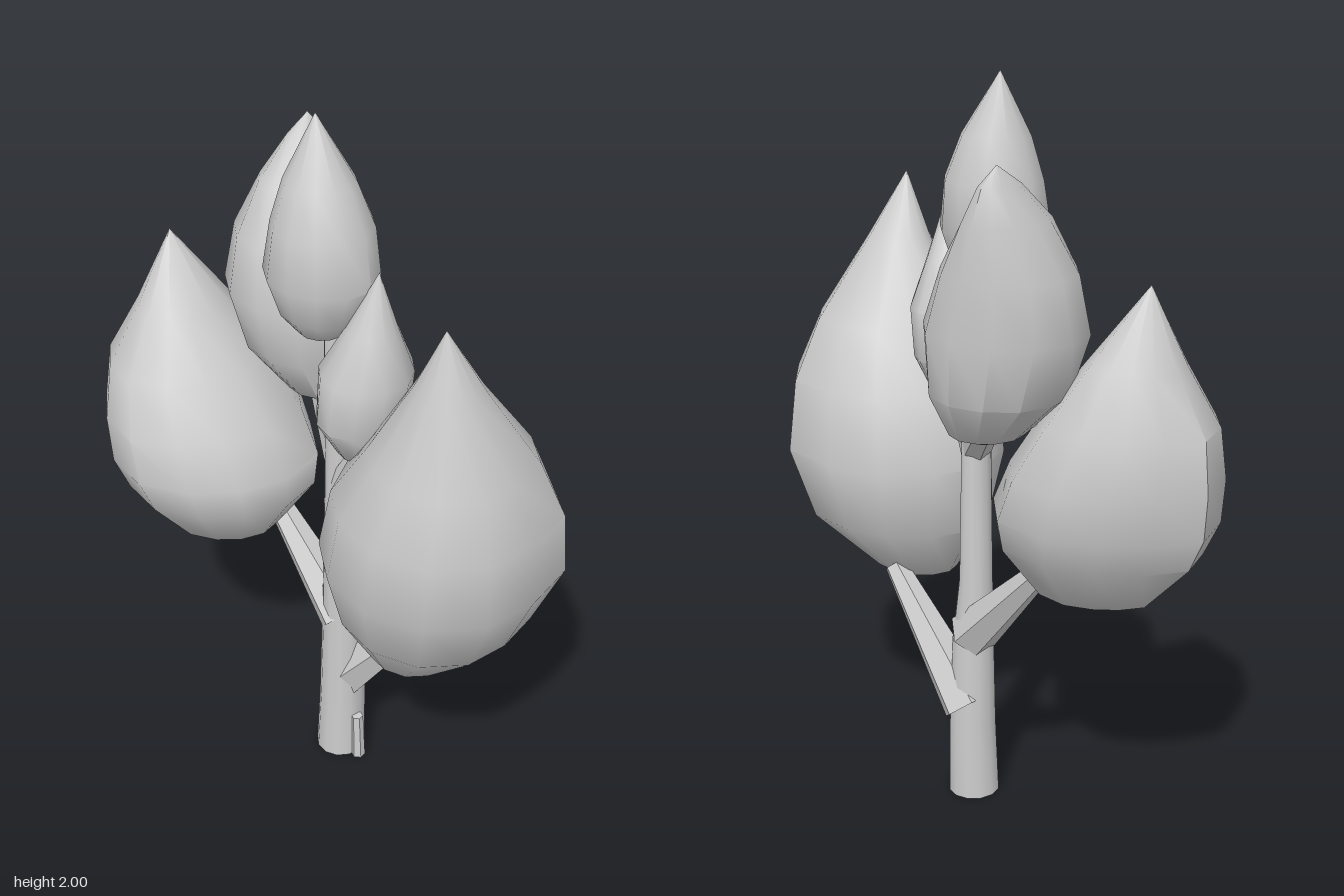
import * as THREE from 'three';
import { toCreasedNormals } from 'three/addons/utils/BufferGeometryUtils.js';

const material = new THREE.MeshStandardMaterial({ color: 0xcccccc });

// Skin over horizontal rings, bottom to top: [y, xMin, xMax, zMin, zMax].
// corners: fullness of the (+x+z), (-x+z), (-x-z) and (+x-z) quarters.
function ringSkin(name, rings, corners) {
  const sides = 12;
  const loops = rings.map(([y, x0, x1, z0, z1]) => {
    const loop = [];
    for (let i = 0; i < sides; i++) {
      const a = (i / sides) * Math.PI * 2;
      const corner = corners[Math.floor((i * 4) / sides)];
      const k = 1 + (corner - 1) * Math.abs(Math.sin(2 * a));
      loop.push(new THREE.Vector3(
        (x0 + x1) / 2 + Math.cos(a) * k * (x1 - x0) / 2, y,
        (z0 + z1) / 2 + Math.sin(a) * k * (z1 - z0) / 2));
    }
    return loop;
  });
  const isPoint = rings.map((r) => r[1] === r[2]);
  const points = [];
  for (let r = 0; r < loops.length - 1; r++) {
    for (let i = 0; i < sides; i++) {
      const j = (i + 1) % sides, low = loops[r], high = loops[r + 1];
      if (!isPoint[r + 1]) points.push(low[i], high[i], high[j]);
      if (!isPoint[r]) points.push(low[i], high[j], low[j]);
    }
  }
  const geometry = new THREE.BufferGeometry().setFromPoints(points);
  const mesh = new THREE.Mesh(toCreasedNormals(geometry, 0.75), material);
  mesh.name = name;
  return mesh;
}

// Tapered limb between two points.
function limb(name, from, to, r0, r1) {
  const a = new THREE.Vector3(...from), b = new THREE.Vector3(...to);
  const dir = b.clone().sub(a);
  const geometry = new THREE.CylinderGeometry(r1, r0, dir.length(), 6);
  const mesh = new THREE.Mesh(toCreasedNormals(geometry, 0.6), material);
  mesh.position.copy(a).add(b).multiplyScalar(0.5);
  mesh.quaternion.setFromUnitVectors(new THREE.Vector3(0, 1, 0), dir.normalize());
  mesh.name = name;
  return mesh;
}

// Teardrop leaf clumps, each leaning its own way.
const clumps = {
  lowerRightClump: { corners: [0.91, 0.97, 0.86, 1.13], rings: [
    [0.67, -0.32, -0.32, 0.03, 0.03],
    [0.71, -0.51, -0.20, -0.09, 0.17],
    [0.85, -0.64, -0.11, -0.19, 0.28],
    [0.94, -0.68, -0.11, -0.22, 0.31],
    [1.06, -0.69, -0.17, -0.22, 0.30],
    [1.20, -0.68, -0.26, -0.18, 0.25],
    [1.35, -0.60, -0.37, -0.10, 0.15],
    [1.55, -0.51, -0.51, 0.025, 0.025],
  ] },
  lowerLeftClump: { corners: [1.02, 0.96, 0.97, 1.14], rings: [
    [0.53, 0.34, 0.34, 0.10, 0.10],
    [0.58, 0.20, 0.43, -0.05, 0.16],
    [0.74, 0.10, 0.60, -0.19, 0.27],
    [0.93, 0.07, 0.68, -0.23, 0.34],
    [1.12, 0.12, 0.68, -0.19, 0.34],
    [1.28, 0.23, 0.63, -0.11, 0.29],
    [1.50, 0.37, 0.54, 0.06, 0.21],
    [1.67, 0.46, 0.46, 0.16, 0.16],
  ] },
  backClump: { corners: [0.98, 1.02, 0.97, 1], rings: [
    [1.10, -0.13, -0.13, -0.15, -0.15],
    [1.14, -0.24, -0.05, -0.25, -0.06],
    [1.26, -0.37, -0.01, -0.33, 0.01],
    [1.42, -0.42, 0.01, -0.34, 0.04],
    [1.57, -0.40, -0.06, -0.33, 0],
    [1.70, -0.35, -0.16, -0.32, -0.08],
    [1.79, -0.31, -0.23, -0.30, -0.18],
    [1.84, -0.28, -0.28, -0.26, -0.26],
  ] },
  topClump: { corners: [0.98, 1, 0.98, 1], rings: [
    [1.43, 0.02, 0.02, 0.04, 0.04],
    [1.45, -0.05, 0.07, -0.02, 0.10],
    [1.50, -0.11, 0.115, -0.07, 0.135],
    [1.60, -0.15, 0.155, -0.10, 0.165],
    [1.73, -0.13, 0.13, -0.10, 0.15],
    [1.84, -0.10, 0.085, -0.06, 0.11],
    [2.00, -0.03, -0.03, 0.015, 0.015],
  ] },
  middleClump: { corners: [1, 0.97, 1.05, 0.9], rings: [
    [1.12, 0.14, 0.14, 0.03, 0.03],
    [1.15, 0.07, 0.21, -0.05, 0.11],
    [1.25, 0.02, 0.25, -0.11, 0.17],
    [1.38, 0.02, 0.265, -0.11, 0.16],
    [1.50, 0.09, 0.23, -0.04, 0.10],
    [1.66, 0.175, 0.175, 0.03, 0.03],
  ] },
};

export function createModel() {
  const tree = new THREE.Group();
  tree.name = 'tree';

  for (const [name, { rings, corners }] of Object.entries(clumps)) {
    tree.add(ringSkin(name, rings, corners));
  }

  // Trunk, narrowing towards the top
  tree.add(ringSkin('trunk', [
    [0, 0.02, 0.02, -0.03, -0.03],
    [0, -0.05, 0.09, -0.105, 0.04],
    [0.22, -0.043, 0.088, -0.1, 0.03],
    [0.45, -0.037, 0.083, -0.09, 0.025],
    [0.65, -0.03, 0.06, -0.075, 0.02],
    [1.05, -0.02, 0.055, -0.065, 0.02],
    [1.25, -0.018, 0.04, -0.045, 0.02],
    [1.48, -0.01, 0.03, -0.02, 0.02],
  ], [1, 1, 1, 1]));

  // Branches reaching into the clumps
  tree.add(limb('lowerLeftBranch', [0.025, 0.265, -0.05], [0.3, 0.61, -0.06], 0.075, 0.032));
  tree.add(limb('lowerRightBranch', [0.02, 0.485, -0.035], [-0.24, 0.75, -0.065], 0.07, 0.034));
  tree.add(limb('backBranch', [0.01, 1.03, -0.03], [-0.13, 1.16, -0.13], 0.042, 0.036));
  tree.add(limb('middleBranch', [0.025, 0.95, -0.01], [0.15, 1.18, 0.02], 0.035, 0.022));

  // Cut stub beside the trunk foot
  tree.add(limb('footStub', [0.098, 0, -0.016], [0.092, 0.15, -0.016], 0.02, 0.017));
  return tree;
}
